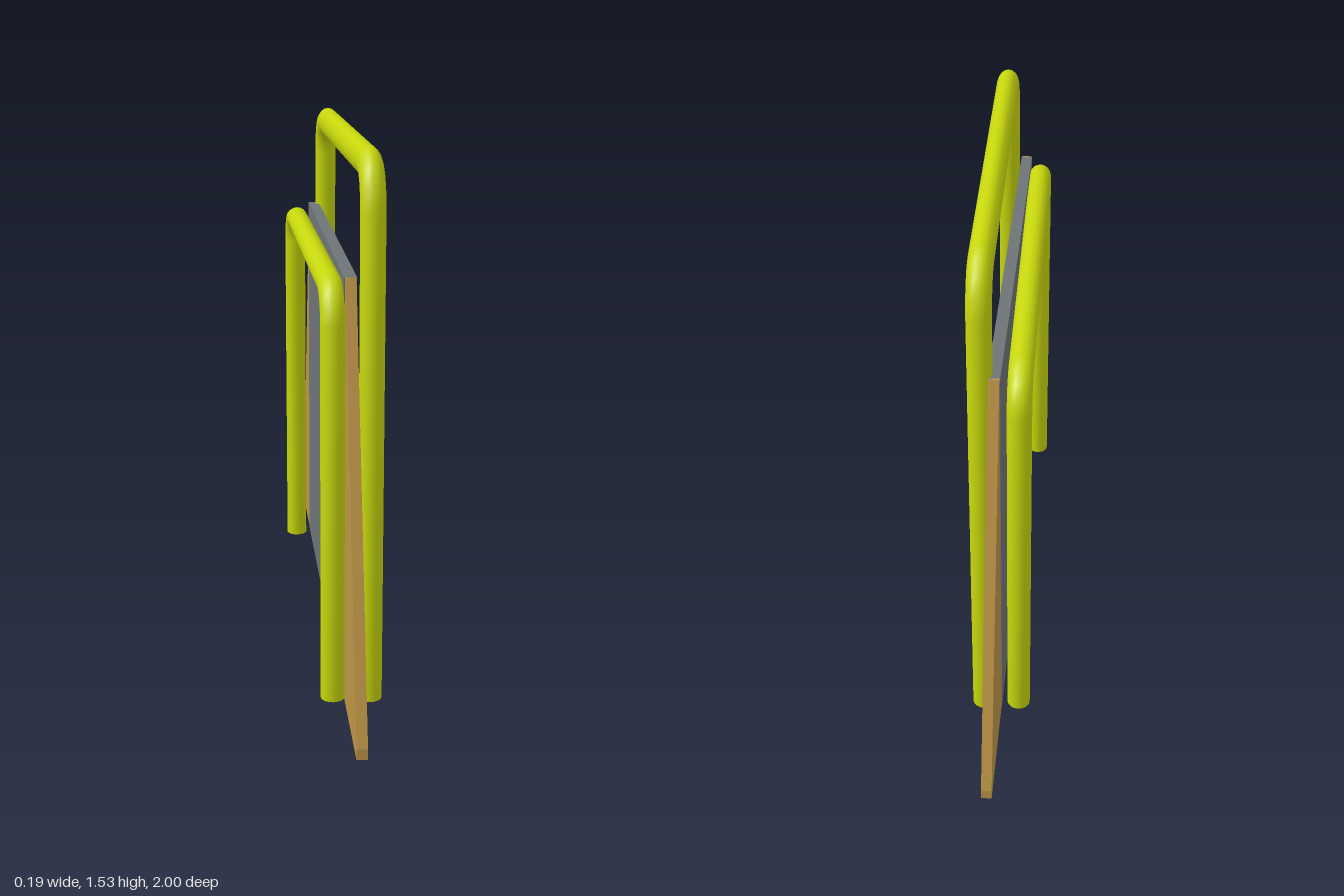
import * as THREE from 'three';
import { toCreasedNormals } from 'three/addons/utils/BufferGeometryUtils.js';

const yellow = new THREE.MeshStandardMaterial({ color: 0xc6d60c });
const tan = new THREE.MeshStandardMaterial({ color: 0xbc9446 });
const grey = new THREE.MeshStandardMaterial({ color: 0x6e7376 });

const HALF = 0.64, HEIGHT = 1.166, BEND = 0.09, STEPS = 4, RADIUS = 0.034;

// Stations of an inverted U: z, y and the angle turned from straight up
function railStations() {
  const list = [[HALF, 0, 0]];
  for (const side of [1, -1]) {
    for (let i = 0; i <= STEPS; i++) {
      const a = (i / STEPS + (side < 0 ? 1 : 0)) * Math.PI / 2;
      list.push([side * (HALF - BEND) + BEND * Math.cos(a), HEIGHT - BEND + BEND * Math.sin(a), a]);
    }
  }
  list.push([-HALF, 0, Math.PI]);
  return list;
}

// A capped cylinder whose rings are carried along the stations
function railGeometry() {
  const stations = railStations(), n = stations.length - 1;
  const geo = new THREE.CylinderGeometry(RADIUS, RADIUS, 1, 18, n);
  const p = geo.attributes.position;
  for (let i = 0; i < p.count; i++) {
    const [z, y, a] = stations[Math.round((p.getY(i) + 0.5) * n)];
    const r = p.getZ(i);
    p.setXYZ(i, p.getX(i), y + r * Math.sin(a), z + r * Math.cos(a));
  }
  return toCreasedNormals(geo, 0.8);
}

// Flat plate cut from a (z, y) outline, centred on x = 0
function plate(points, thickness) {
  const shape = new THREE.Shape(points.map(([z, y]) => new THREE.Vector2(-z, y)));
  const geo = new THREE.ExtrudeGeometry(shape, { depth: thickness, bevelEnabled: false });
  return geo.translate(0, 0, -thickness / 2).rotateY(Math.PI / 2);
}

export function createModel() {
  const group = new THREE.Group();
  const add = (name, geo, mat) => {
    const mesh = new THREE.Mesh(geo, mat);
    mesh.name = name;
    group.add(mesh);
    return mesh;
  };

  // Central board
  add('panel', new THREE.BoxGeometry(0.034, 1.195, 1.3), grey).position.y = 0.6025;

  // Sloping end boards
  for (const s of [1, -1]) {
    add(s > 0 ? 'frontWing' : 'backWing',
      plate([[s * 0.645, 0], [s, 0], [s, 0.03], [s * 0.652, 1.2], [s * 0.645, 1.2]], 0.03), tan);
  }

  // Bent tube rails, the left one taller, both slightly askew
  const rail = railGeometry();
  for (const [name, x, y, stretch] of [['leftRail', 0.048, 0, 1.275], ['rightRail', -0.056, 0.004, 0.997]]) {
    const mesh = add(name, rail, yellow);
    mesh.position.set(x, y, 0.015);
    mesh.scale.y = stretch;
    mesh.rotation.y = 0.0145;
  }
  return group;
}
